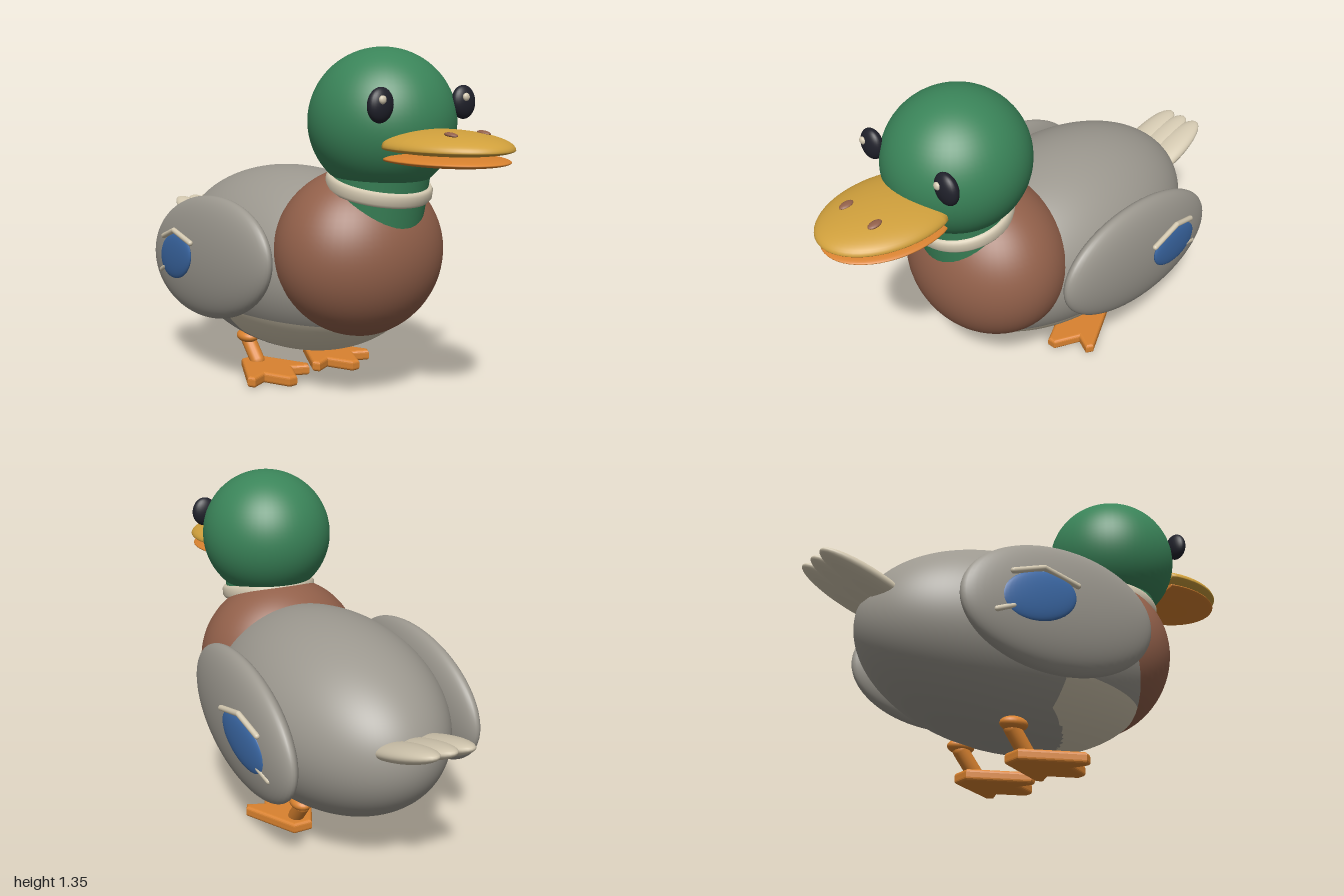
import * as THREE from 'three';

const mat = (name, color) => {
  const m = new THREE.MeshStandardMaterial({ color });
  m.name = name;
  return m;
};

export function createModel() {
  const duck = new THREE.Group();
  duck.name = 'duck';

  const grey = mat('feather grey', 0x9c988f);
  const brown = mat('chest brown', 0x92604a);
  const green = mat('head green', 0x3a8459);
  const cream = mat('cream', 0xd3c8b0);
  const black = mat('eye black', 0x20212b);
  const yellow = mat('bill yellow', 0xd0a03c);
  const orange = mat('foot orange', 0xd9822f);
  const blue = mat('wing blue', 0x3c6aa8);

  const add = (name, geo, material, parent = duck) => {
    const m = new THREE.Mesh(geo, material);
    m.name = name;
    parent.add(m);
    return m;
  };

  // Ellipsoid from radii, centre and optional rotation
  const ball = (name, material, [rx, ry, rz], [x, y, z], rot = [0, 0, 0], parent = duck, seg = 40) => {
    const geo = new THREE.SphereGeometry(1, seg, Math.round(seg * 0.7)).scale(rx, ry, rz);
    const m = add(name, geo, material, parent);
    m.position.set(x, y, z);
    m.rotation.set(...rot);
    return m;
  };

  // Round bar between two points
  const bar = (name, material, a, b, r, parent = duck) => {
    const p = new THREE.Vector3(...a), q = new THREE.Vector3(...b);
    const dir = q.clone().sub(p);
    const m = add(name, new THREE.CapsuleGeometry(r, dir.length(), 6, 16), material, parent);
    m.position.copy(p).add(q).multiplyScalar(0.5);
    m.quaternion.setFromUnitVectors(new THREE.Vector3(0, 1, 0), dir.normalize());
    return m;
  };

  // Body, with the pale belly as a second material group
  const bodyGeo = new THREE.SphereGeometry(1, 112, 80).scale(0.4, 0.38, 0.65).translate(0, 0.49, -0.14);
  const pos = bodyGeo.attributes.position, idx = bodyGeo.index.array;
  const back = [], belly = [];
  for (let i = 0; i < idx.length; i += 3) {
    const t = [idx[i], idx[i + 1], idx[i + 2]];
    const y = t.reduce((s, v) => s + pos.getY(v), 0) / 3;
    const z = t.reduce((s, v) => s + pos.getZ(v), 0) / 3;
    const pale = y < 0.315 && z > -0.14 + Math.max(0, 0.2 - y) * 2.5;
    (pale ? belly : back).push(...t);
  }
  bodyGeo.setIndex([...back, ...belly]);
  bodyGeo.addGroup(0, back.length, 0);
  bodyGeo.addGroup(back.length, belly.length, 1);
  add('body', bodyGeo, [grey, cream]);

  ball('chest', brown, [0.35, 0.33, 0.295], [0, 0.575, 0.28], [0, 0, 0], duck, 56);

  // Neck and collar share one forward tilt
  const neck = new THREE.Group();
  neck.name = 'neckGroup';
  neck.position.set(0, 0.843, 0.395);
  neck.rotation.x = 0.2;
  duck.add(neck);
  add('neck', new THREE.CylinderGeometry(0.182, 0.182, 0.34, 48), green, neck);
  const ring = [[0.17, -0.028], [0.192, -0.026], [0.2, -0.014], [0.2, 0.014], [0.192, 0.026], [0.17, 0.028]];
  add('collar', new THREE.LatheGeometry(ring.map(p => new THREE.Vector2(...p)), 56), cream, neck);

  ball('head', green, [0.27, 0.27, 0.278], [0, 1.08, 0.407], [0, 0, 0], duck, 56);

  // Bill halves: flattened ellipsoids cut off square at the face
  const bill = (name, material, rx, up, down, rz, y) => {
    const geo = new THREE.SphereGeometry(1, 56, 32);
    const p = geo.attributes.position;
    for (let i = 0; i < p.count; i++) {
      const h = p.getY(i);
      p.setXYZ(i, p.getX(i) * rx, y + h * (h > 0 ? up : down), Math.max(0.612, 0.722 + p.getZ(i) * rz));
    }
    geo.computeVertexNormals();
    add(name, geo, material);
  };
  bill('upperBill', yellow, 0.2, 0.06, 0.026, 0.276, 1.01);
  bill('lowerBill', orange, 0.192, 0.022, 0.022, 0.262, 0.968);

  for (const s of [1, -1]) {
    // Face details
    ball('nostril', brown, [0.017, 0.008, 0.028], [s * 0.077, 1.061, 0.838], [0.12, 0, 0], duck, 16);
    ball('eye', black, [0.053, 0.061, 0.031], [s * 0.197, 1.153, 0.624], [0, 0, s * 0.15], duck, 28);
    ball('eyeGlint', cream, [0.015, 0.015, 0.01], [s * 0.197 - 0.014, 1.172, 0.652], [0, 0, 0], duck, 16);

    // Wing with blue patch and pale feather edges
    const wing = new THREE.Group();
    wing.name = s > 0 ? 'leftWing' : 'rightWing';
    duck.add(wing);
    ball('wingShell', grey, [0.079, 0.248, 0.439], [s * 0.387, 0.52, -0.192], [-0.15, 0, 0], wing, 56);
    ball('wingPatch', blue, [0.018, 0.093, 0.155], [s * 0.455, 0.508, -0.345], [-0.3, s * 0.1, 0], wing, 32);
    const edge = [[s * 0.474, 0.587, -0.19], [s * 0.466, 0.617, -0.335], [s * 0.449, 0.575, -0.455]];
    bar('frontFeatherEdge', cream, edge[0], edge[1], 0.011, wing);
    bar('rearFeatherEdge', cream, edge[1], edge[2], 0.011, wing);
    bar('lowerFeatherEdge', cream, [s * 0.444, 0.445, -0.45], [s * 0.432, 0.42, -0.51], 0.011, wing);

    // Leg and webbed foot
    const leg = new THREE.Group();
    leg.name = s > 0 ? 'leftLeg' : 'rightLeg';
    duck.add(leg);
    ball('thigh', orange, [0.043, 0.027, 0.056], [s * 0.172, 0.142, -0.247], [0, 0, 0], leg, 24);
    bar('shank', orange, [s * 0.167, 0.125, -0.25], [s * 0.164, 0.045, -0.185], 0.031, leg);
    const web = [[-0.04, -0.25], [0.04, -0.25], [0.152, -0.03], [0.135, 0.0], [0.07, -0.03],
      [0.018, 0.075], [-0.018, 0.075], [-0.07, -0.03], [-0.135, 0.0], [-0.152, -0.03]];
    const footGeo = new THREE.ExtrudeGeometry(new THREE.Shape(web.map(p => new THREE.Vector2(...p))), {
      depth: 0.019, bevelEnabled: true, bevelThickness: 0.013, bevelSize: 0.013, bevelOffset: -0.013, bevelSegments: 4,
    }).rotateX(Math.PI / 2);
    add('foot', footGeo, orange, leg).position.set(s * 0.163, 0.034, 0);
  }

  // Three overlapping tail feathers
  for (const x of [-0.07, 0, 0.07]) {
    ball('tailFeather', cream, [0.07, 0.034, 0.212], [x, 0.575, -0.798], [0.32, 0, 0], duck, 32);
  }

  return duck;
}
